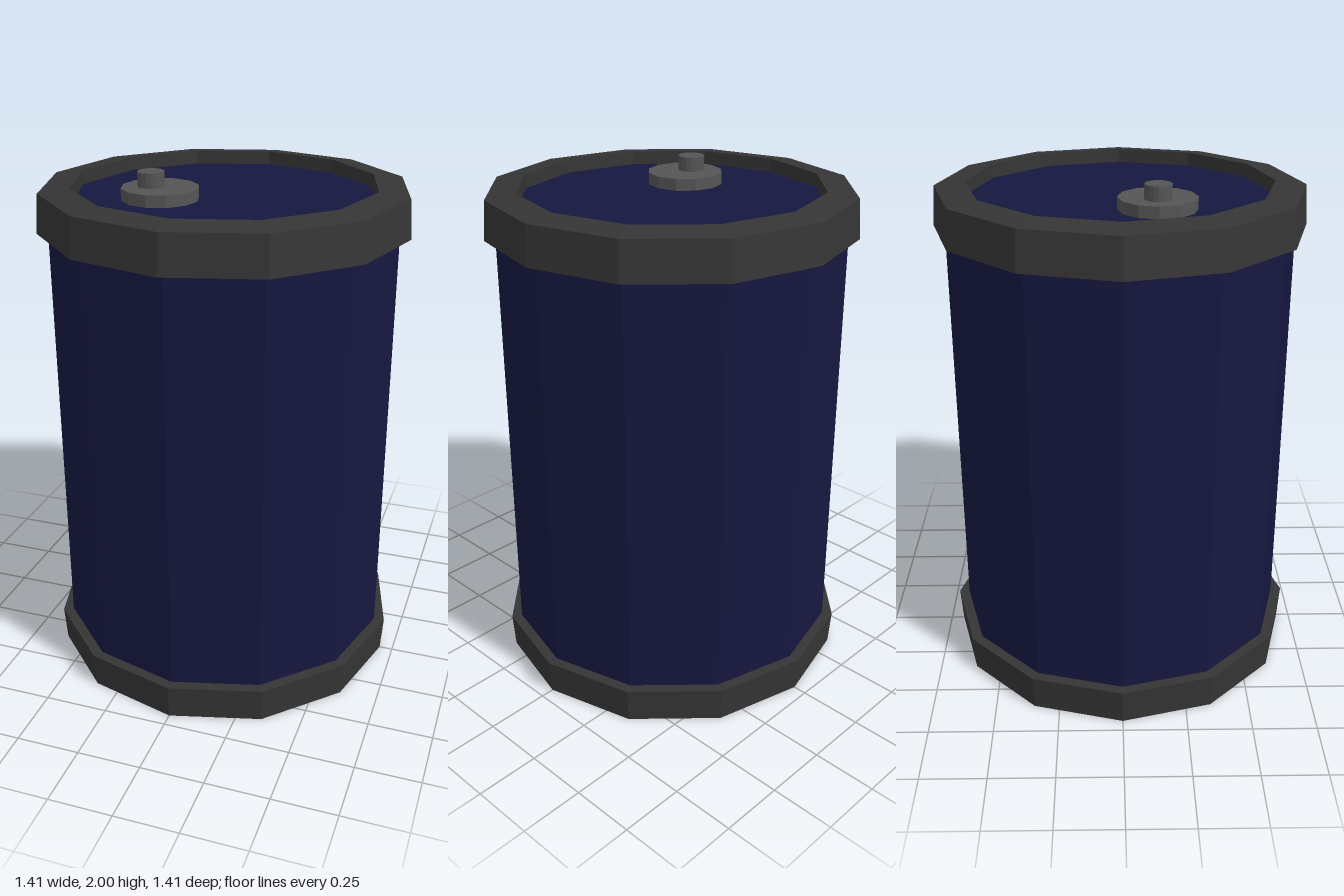
import * as THREE from 'three';

const SIDES = 12;

const paint = (color) =>
  new THREE.MeshStandardMaterial({ color, flatShading: true, side: THREE.DoubleSide });

export function createModel() {
  const model = new THREE.Group();
  const blue = paint(0x16173f);
  const dark = paint(0x353535);
  const metal = paint(0x555555);

  const add = (name, geometry, material, x = 0, y = 0, z = 0) => {
    const mesh = new THREE.Mesh(geometry, material);
    mesh.name = name;
    mesh.position.set(x, y, z);
    model.add(mesh);
  };
  const turned = (points) =>
    new THREE.LatheGeometry(points.map(([r, y]) => new THREE.Vector2(r, y)), SIDES);

  // Barrel wall, open underneath, closed by the recessed lid
  add('body', turned([[0.665, 0.14], [0.665, 1.9]]), blue);
  add('lid', turned([[0.665, 1.9], [0, 1.9]]), blue);

  // Thin flared skirt with a shelf that meets the wall
  add('bottomRing', turned([[0.697, 0], [0.707, 0.14], [0.665, 0.14]]), dark);

  // Rim: underside shelf, tapered side, sloped top, inner wall down to the lid
  add('topRing', turned([
    [0.665, 1.79], [0.707, 1.79], [0.696, 1.938], [0.58, 1.953], [0.58, 1.9],
  ]), dark);

  // Filler cap and its off-centre knob
  add('fillerCap', new THREE.CylinderGeometry(0.146, 0.146, 0.045, SIDES), metal, -0.21, 1.9225, 0.13);
  add('capKnob', new THREE.CylinderGeometry(0.05, 0.05, 0.06, 16), metal, -0.245, 1.97, 0.13);

  return model;
}
